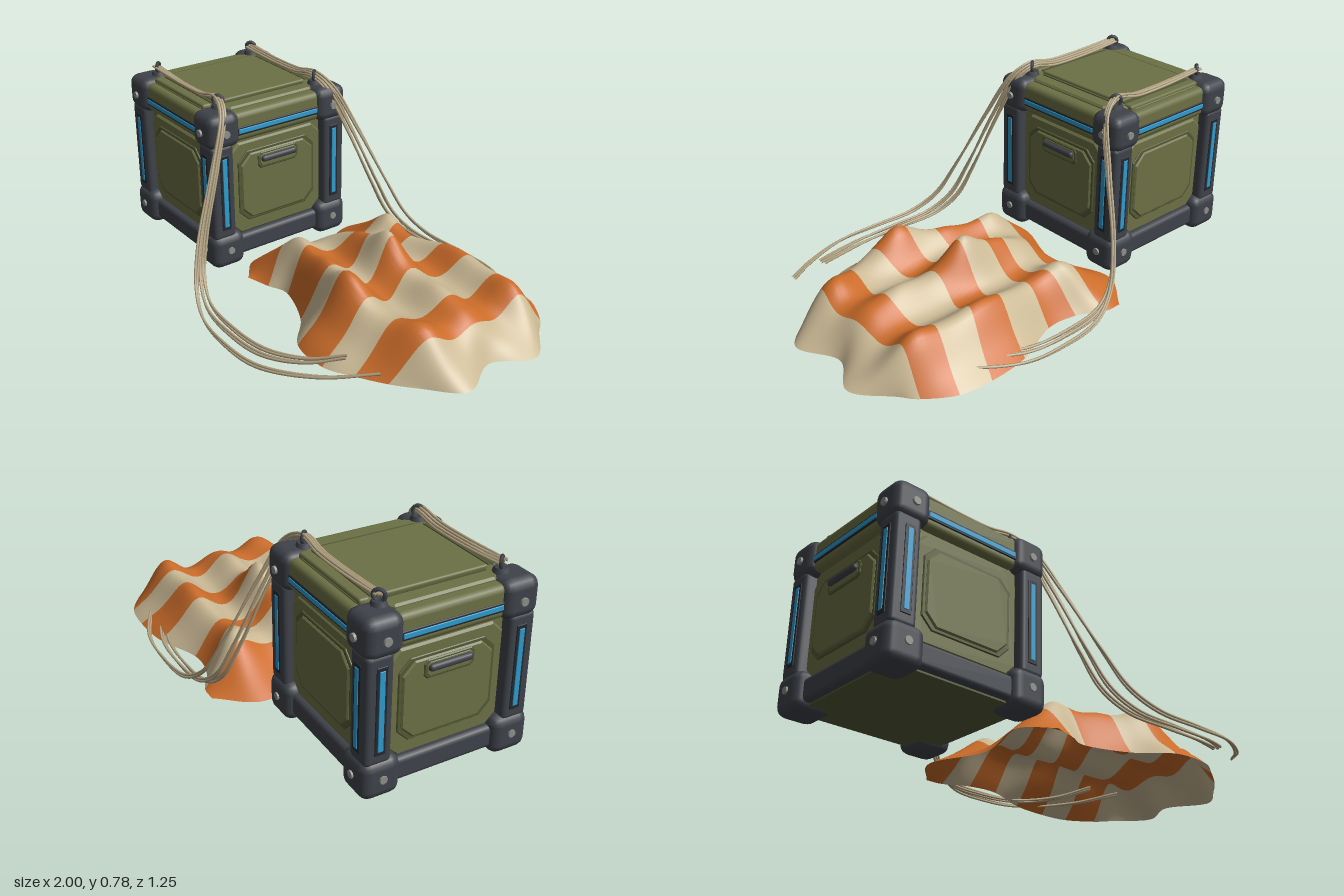
import * as THREE from 'three';
import { RoundedBoxGeometry } from 'three/addons/geometries/RoundedBoxGeometry.js';

const mat = (name, color, side = THREE.FrontSide) => {
  const m = new THREE.MeshStandardMaterial({ color, side });
  m.name = name;
  return m;
};
const green = mat('olive green', 0x6d7145);
const darkGreen = mat('dark olive', 0x545a35);
const steel = mat('dark steel', 0x3f434a);
const black = mat('slot black', 0x24282e);
const blue = mat('glow blue', 0x2f9dd0);
const bolt = mat('bolt grey', 0x8e908a);
const orange = mat('cloth orange', 0xcb6c2a, THREE.DoubleSide);
const cream = mat('cloth cream', 0xcbb995, THREE.DoubleSide);
const rope = mat('rope tan', 0xb3a382);

function add(parent, name, geo, material, x = 0, y = 0, z = 0) {
  const m = new THREE.Mesh(geo, material);
  m.name = name;
  m.position.set(x, y, z);
  parent.add(m);
  return m;
}
const rbox = (w, h, d, r) => new RoundedBoxGeometry(w, h, d, 2, r);

// Rectangle with cut corners
function octagon(w, h, c) {
  const a = w / 2, b = h / 2;
  return new THREE.Shape([[-a + c, -b], [a - c, -b], [a, -b + c], [a, b - c], [a - c, b], [-a + c, b], [-a, b - c], [-a, -b + c]]
    .map(p => new THREE.Vector2(...p)));
}
// Plate with cut corners and bevelled rim; its face lies at z = depth + bevel
function plate(w, h, c, depth, bevel = 0.008) {
  return new THREE.ExtrudeGeometry(octagon(w - 2 * bevel, h - 2 * bevel, c), {
    depth, bevelEnabled: true, bevelSize: bevel, bevelThickness: bevel, bevelSegments: 1 });
}

function crateSide(withHandle) {
  const g = new THREE.Group();
  g.name = 'crateSide';
  // Recessed panel with a stepped frame
  add(g, 'panelFrame', plate(0.475, 0.43, 0.04, 0.03), green, 0, 0.338, 0.272);
  add(g, 'panelGroove', plate(0.4, 0.33, 0.045, 0.005, 0.003), darkGreen, 0, 0.345, 0.308);
  add(g, 'panelCentre', plate(0.375, 0.305, 0.045, 0.008, 0.006), green, 0, 0.345, 0.309);
  // Lid rail with light strip
  add(g, 'lidRail', rbox(0.45, 0.13, 0.09, 0.025), green, 0, 0.635, 0.29);
  add(g, 'lidSlot', rbox(0.425, 0.038, 0.012, 0.005), black, 0, 0.62, 0.333);
  add(g, 'lidLight', rbox(0.41, 0.021, 0.008, 0.003), blue, 0, 0.62, 0.338);
  add(g, 'baseRail', rbox(0.45, 0.095, 0.08, 0.02), steel, 0, 0.075, 0.29);
  for (const s of [-1, 1]) {
    add(g, 'postSlot', rbox(0.044, 0.35, 0.008, 0.003), black, s * 0.288, 0.36, 0.346);
    add(g, 'postLight', rbox(0.022, 0.32, 0.006, 0.002), blue, s * 0.288, 0.36, 0.35);
    for (const y of [0.085, 0.632]) {
      const b = add(g, 'bolt', new THREE.CylinderGeometry(0.016, 0.018, 0.03, 8), bolt, s * 0.278, y, 0.35);
      b.rotation.x = Math.PI / 2;
    }
  }
  if (withHandle) {
    add(g, 'handlePlate', plate(0.21, 0.075, 0.012, 0.006, 0.004), darkGreen, 0, 0.455, 0.318);
    add(g, 'handlePlateFace', plate(0.19, 0.058, 0.01, 0.006, 0.003), green, 0, 0.455, 0.321);
    add(g, 'handleBar', rbox(0.18, 0.028, 0.026, 0.012), steel, 0, 0.462, 0.332);
  }
  return g;
}

function crate() {
  const g = new THREE.Group();
  g.name = 'crate';
  g.position.set(-0.634, 0, -0.017);
  add(g, 'crateBody', new THREE.BoxGeometry(0.6, 0.66, 0.6), green, 0, 0.365, 0);
  add(g, 'crateFloor', new THREE.BoxGeometry(0.6, 0.02, 0.6), darkGreen, 0, 0.03, 0);
  // Lid: plate with raised long edges
  const lid = add(g, 'lidPlate', plate(0.57, 0.6, 0.09, 0.02), green, 0, 0.684, 0);
  lid.rotation.x = -Math.PI / 2;
  add(g, 'lidCentre', rbox(0.42, 0.025, 0.46, 0.008), green, 0, 0.711, 0);
  for (const s of [-1, 1]) {
    add(g, 'lidEdge', rbox(0.42, 0.03, 0.045, 0.01), green, 0, 0.705, s * 0.275);
    add(g, 'lidGroove', new THREE.BoxGeometry(0.4, 0.004, 0.014), darkGreen, 0, 0.717, s * 0.243);
    add(g, 'lidSideGroove', new THREE.BoxGeometry(0.012, 0.004, 0.42), darkGreen, s * 0.22, 0.714, 0);
  }
  for (let k = 0; k < 4; k++) {
    const side = crateSide(k % 2 === 1);
    side.rotation.y = k * Math.PI / 2;
    g.add(side);
  }
  // Corner armour, posts and rope rings
  for (const sx of [-1, 1]) for (const sz of [-1, 1]) {
    add(g, 'topCorner', rbox(0.155, 0.155, 0.155, 0.04), steel, sx * 0.278, 0.637, sz * 0.278);
    add(g, 'bottomCorner', rbox(0.16, 0.16, 0.16, 0.04), steel, sx * 0.278, 0.08, sz * 0.278);
    add(g, 'cornerPost', rbox(0.11, 0.44, 0.11, 0.02), steel, sx * 0.292, 0.36, sz * 0.292);
    add(g, 'ringBase', new THREE.CylinderGeometry(0.026, 0.034, 0.02, 8), steel, sx * 0.255, 0.72, sz * 0.25);
    const ring = add(g, 'ropeRing', new THREE.TorusGeometry(0.021, 0.008, 6, 14), steel, sx * 0.255, 0.748, sz * 0.25);
    ring.rotation.y = sx * sz * Math.PI / 4;
  }
  return g;
}

// Rope of two thin strands lying along a path with a slow twist
function twistedRope(points) {
  const g = new THREE.Group();
  g.name = 'rope';
  const path = new THREE.CatmullRomCurve3(points.map(p => new THREE.Vector3(...p)));
  const n = 100, up = new THREE.Vector3(0, 1, 0);
  for (const s of [-1, 1]) {
    const strand = [];
    for (let i = 0; i <= n; i++) {
      const t = path.getTangentAt(i / n);
      const side = new THREE.Vector3().crossVectors(t, up).normalize();
      const norm = new THREE.Vector3().crossVectors(side, t);
      const a = i * 0.07;
      strand.push(path.getPointAt(i / n).addScaledVector(side, s * Math.cos(a) * 0.005).addScaledVector(norm, s * Math.sin(a) * 0.005));
    }
    add(g, 'ropeStrand', new THREE.TubeGeometry(new THREE.CatmullRomCurve3(strand), n, 0.0055, 8), rope);
  }
  return g;
}

function ropes() {
  const g = new THREE.Group();
  g.name = 'ropes';
  // x, y and outward share of each path point
  const path = [[-0.9, 0.75, 0], [-0.78, 0.742, 0], [-0.64, 0.736, 0], [-0.5, 0.738, 0], [-0.38, 0.757, 0], [-0.3, 0.71, 0.08],
    [-0.24, 0.52, 0.33], [-0.18, 0.25, 0.67], [-0.12, 0.1, 0.84], [-0.02, 0.03, 0.95], [0.18, 0.016, 1], [0.38, 0.025, 0.95]];
  for (const s of [-1, 1]) {
    [[0.53, 0.67, 0.365], [0.56, 0.68, 0.38], [0.615, 0.83, 0.34]].forEach(([zFront, xEnd, zEnd], k) => {
      const zOut = s > 0 ? zFront : zFront * 0.75 + 0.158;
      const pts = path.map(([x, y, w]) => [x + (k - 1) * 0.02 * Math.sqrt(w) + (k === 2 ? 0.04 * w * w : 0), y + (1 - w) * (k - 1) * 0.004,
        s * (0.25 + (k - 1) * 0.012 * (1 - w) + (zOut - 0.25) * w) - 0.015 * (1 - w)]);
      const [lx, , lz] = pts[pts.length - 1];
      pts.push([(lx + xEnd) / 2 + 0.03, 0.06, s * (Math.abs(lz) * 0.55 + zEnd * 0.45)], [xEnd, 0.11, s * zEnd]);
      g.add(twistedRope(pts));
    });
  }
  return g;
}

// Crumpled striped cloth lofted through its stripe borders (x, z from back to front)
function cloth() {
  const borders = [
    [-0.14, -0.56, -0.26, -0.38, -0.18, -0.12, -0.26, 0.14, -0.15, 0.26],
    [-0.06, -0.555, -0.02, -0.33, -0.03, -0.15, -0.1, 0.05, -0.04, 0.23],
    [0.05, -0.5, 0.1, -0.3, 0.11, -0.12, 0.06, 0.05, 0.06, 0.2],
    [0.19, -0.49, 0.19, -0.3, 0.2, -0.14, 0.26, 0.08, 0.25, 0.27],
    [0.39, -0.57, 0.35, -0.32, 0.34, -0.12, 0.39, 0.13, 0.39, 0.385],
    [0.57, -0.59, 0.49, -0.33, 0.46, -0.12, 0.53, 0.13, 0.56, 0.395],
    [0.71, -0.575, 0.66, -0.33, 0.69, -0.12, 0.67, 0.08, 0.68, 0.335],
    [0.83, -0.5, 0.81, -0.33, 0.83, -0.12, 0.84, 0.06, 0.79, 0.265],
    [0.88, -0.44, 1.0, -0.29, 0.92, -0.12, 1.0, 0.06, 0.87, 0.2]];
  // Peaks: x, z, height, x spread, z spread
  const bumps = [[0.43, 0.17, 0.115, 0.12, 0.09], [0.32, -0.12, 0.145, 0.11, 0.09], [0.62, -0.11, 0.05, 0.14, 0.08],
    [0, -0.36, 0.045, 0.12, 0.1], [0, 0.08, 0.075, 0.12, 0.09], [0.14, -0.12, 0.06, 0.12, 0.07], [0.45, -0.39, 0.045, 0.16, 0.07],
    [0.78, -0.37, 0.045, 0.13, 0.08], [0.8, 0.08, 0.07, 0.12, 0.09], [0.22, 0.1, 0.06, 0.12, 0.09]];
  // Folds run lengthwise between the peaks
  const height = (x, z) => bumps.reduce((h, [bx, bz, a, rx, rz]) =>
    h + a * Math.exp(-Math.pow(Math.hypot((x - bx) / rx, (z - bz) / rz), 1.7)), 0.13 + 0.022 * Math.cos((z + 0.12) * 22.4));
  const rise = t => Math.sin(Math.min(1, t / 0.2) * Math.PI / 2);
  const spline = pts => new THREE.CatmullRomCurve3(pts, false, 'catmullrom');
  const rows = borders.map(b => spline([0, 2, 4, 6, 8].map(i => new THREE.Vector3(b[i], 0, b[i + 1]))));

  const per = 8, nu = 8 * per, nv = 56, pos = [], index = [];
  for (let j = 0; j <= nv; j++) {
    const v = j / nv, line = spline(rows.map(r => r.getPoint(v)));
    for (let i = 0; i <= nu; i++) {
      const u = i / nu, p = line.getPoint(u);
      const lift = rise(Math.min(u, 1 - u)) * rise(Math.min(v, 1 - v));
      pos.push(p.x, 0.008 + lift * height(p.x, p.z), p.z);
    }
  }
  for (let i = 0; i < nu; i++) for (let j = 0; j < nv; j++) {
    const a = j * (nu + 1) + i, b = a + nu + 1;
    index.push(a, b, a + 1, b, b + 1, a + 1);
  }
  const geo = new THREE.BufferGeometry();
  geo.setAttribute('position', new THREE.Float32BufferAttribute(pos, 3));
  geo.setIndex(index);
  geo.computeVertexNormals();
  const count = per * nv * 6;
  for (let k = 0; k < 8; k++) geo.addGroup(k * count, count, k % 2);
  const m = new THREE.Mesh(geo, [orange, cream]);
  m.name = 'stripedCloth';
  return m;
}

export function createModel() {
  const model = new THREE.Group();
  model.name = 'supplyCrateWithParachute';
  model.add(crate(), ropes(), cloth());
  return model;
}
